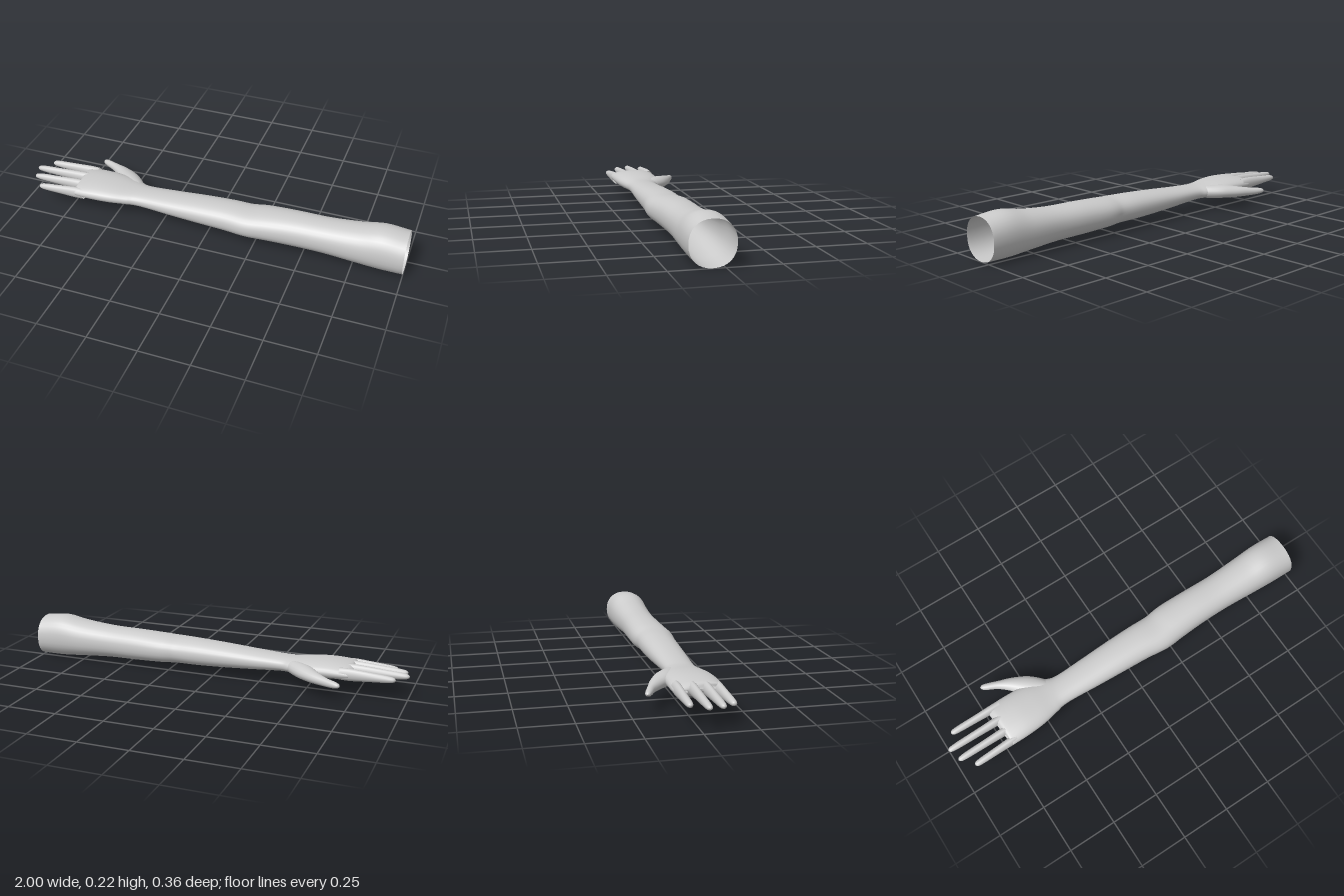
import * as THREE from 'three';

// Lofted skin through sections [x, y, z, half width, half height], open at its first ring.
function loft(sections, sides, steps, squareness = 1) {
  const centres = new THREE.CatmullRomCurve3(
    sections.map(s => new THREE.Vector3(s[0], s[1], s[2])), false, 'catmullrom', 0.5);
  const sizes = new THREE.CatmullRomCurve3(
    sections.map(s => new THREE.Vector3(s[3], s[4], 0)), false, 'catmullrom', 0.5);
  const up = new THREE.Vector3(0, 1, 0);
  const side = new THREE.Vector3();
  const round = v => Math.sign(v) * Math.pow(Math.abs(v), squareness);
  const positions = [], index = [];
  for (let i = 0; i <= steps; i++) {
    const c = centres.getPoint(i / steps), size = sizes.getPoint(i / steps);
    const tangent = centres.getTangent(i / steps).setY(0).normalize();
    side.crossVectors(up, tangent);
    for (let j = 0; j < sides; j++) {
      const a = (j / sides) * Math.PI * 2;
      const u = round(Math.cos(a)) * Math.max(size.x, 0.0005);
      const v = round(Math.sin(a)) * Math.max(size.y, 0.0005);
      positions.push(c.x + side.x * u, c.y + v, c.z + side.z * u);
      if (i === steps) continue;
      const p = i * sides + j, q = i * sides + (j + 1) % sides;
      index.push(p, q, p + sides, q, q + sides, p + sides);
    }
  }
  const geometry = new THREE.BufferGeometry();
  geometry.setAttribute('position', new THREE.Float32BufferAttribute(positions, 3));
  geometry.setIndex(index);
  geometry.computeVertexNormals();
  return geometry;
}

// Section from its outline limits at x: bottom, top, back and front.
const section = ([x, bottom, top, back, front]) =>
  [x, (bottom + top) / 2, (back + front) / 2, (front - back) / 2, (top - bottom) / 2];

export function createModel() {
  const skin = new THREE.MeshStandardMaterial({ color: 0xcccccc, side: THREE.DoubleSide });
  skin.name = 'skin grey';
  const model = new THREE.Group();
  model.name = 'arm';
  const add = (name, geometry) => {
    const mesh = new THREE.Mesh(geometry, skin);
    mesh.name = name;
    model.add(mesh);
  };

  // Hollow sleeve of skin from the open shoulder through the elbow and wrist to the knuckles
  add('armAndPalm', loft([
    [1.0, 0.005, 0.215, -0.05, 0.162],
    [0.88, 0.005, 0.226, -0.05, 0.162],
    [0.76, 0.014, 0.206, -0.045, 0.157],
    [0.6, 0.025, 0.191, -0.038, 0.15],
    [0.44, 0.028, 0.187, -0.041, 0.152],
    [0.3, 0.032, 0.18, -0.042, 0.161],
    [0.21, 0.036, 0.173, -0.031, 0.168],
    [0.1, 0.038, 0.171, -0.031, 0.157],
    [-0.05, 0.044, 0.163, -0.027, 0.15],
    [-0.2, 0.053, 0.152, -0.02, 0.143],
    [-0.36, 0.064, 0.142, -0.015, 0.135],
    [-0.43, 0.066, 0.142, -0.035, 0.145],
    [-0.52, 0.066, 0.15, -0.058, 0.164],
    [-0.61, 0.067, 0.153, -0.062, 0.173],
    [-0.69, 0.073, 0.147, -0.062, 0.175],
    [-0.72, 0.082, 0.138, -0.058, 0.171],
    [-0.733, 0.105, 0.115, -0.03, 0.145],
  ].map(section), 32, 96, 0.9));

  // Four fingers: tip x, tip y, tip z, root y, root z
  const fingers = {
    indexFinger: [-0.945, 0.113, -0.042, 0.113, -0.038],
    middleFinger: [-1.0, 0.114, 0.028, 0.115, 0.028],
    ringFinger: [-0.982, 0.11, 0.094, 0.112, 0.092],
    littleFinger: [-0.925, 0.1, 0.157, 0.104, 0.15],
  };
  for (const [name, [tipX, tipY, tipZ, rootY, rootZ]] of Object.entries(fingers)) {
    const rootX = -0.67;
    const at = (t, w, h) => [
      rootX + (tipX - rootX) * t, rootY + (tipY - rootY) * t, rootZ + (tipZ - rootZ) * t, w, h];
    add(name, loft([
      at(0, 0.022, 0.03), at(0.18, 0.021, 0.031), at(0.4, 0.019, 0.027), at(0.62, 0.018, 0.022),
      at(0.82, 0.017, 0.018), at(0.94, 0.0145, 0.0135), at(0.985, 0.009, 0.008), at(1, 0, 0),
    ], 14, 35));
  }

  // Thumb with its fleshy base
  add('thumb', loft([
    [-0.4, 0.103, 0.03, 0.03, 0.028],
    [-0.44, 0.103, -0.005, 0.042, 0.034],
    [-0.5, 0.103, -0.052, 0.049, 0.035],
    [-0.56, 0.1, -0.1, 0.035, 0.029],
    [-0.62, 0.097, -0.136, 0.021, 0.022],
    [-0.67, 0.096, -0.159, 0.017, 0.017],
    [-0.695, 0.096, -0.17, 0.012, 0.011],
    [-0.705, 0.096, -0.174, 0, 0],
  ], 18, 42));

  return model;
}
